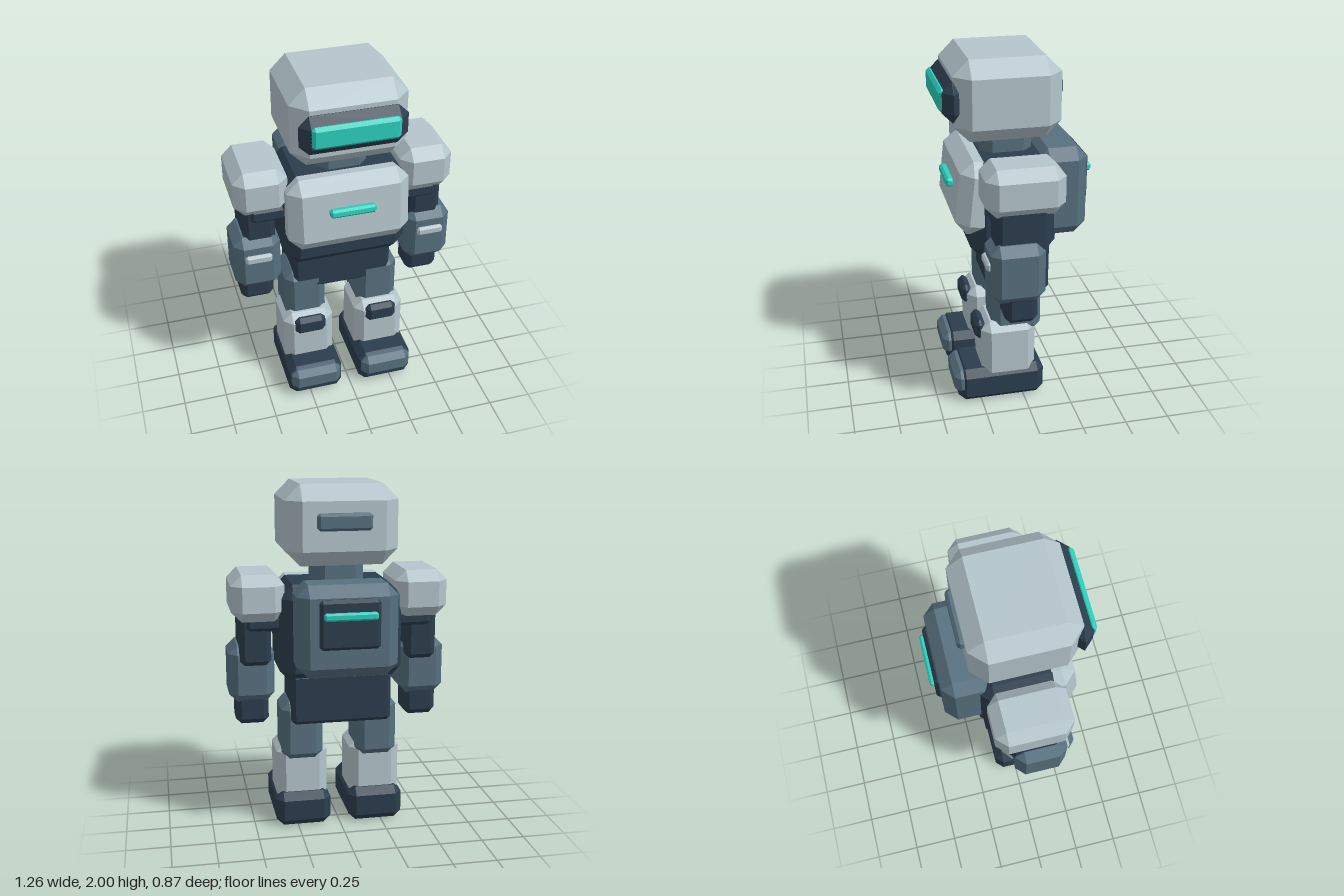
import * as THREE from 'three';
import { ConvexGeometry } from 'three/addons/geometries/ConvexGeometry.js';

const paint = (name, color) => {
  const m = new THREE.MeshStandardMaterial({ color });
  m.name = name;
  return m;
};

// Box with every edge and corner cut flat by the bevel b
function chamferBox(w, h, d, b) {
  const x = w / 2, y = h / 2, z = d / 2, pts = [];
  for (const i of [-1, 1]) for (const j of [-1, 1]) for (const k of [-1, 1]) {
    pts.push(
      new THREE.Vector3(i * x, j * (y - b), k * (z - b)),
      new THREE.Vector3(i * (x - b), j * y, k * (z - b)),
      new THREE.Vector3(i * (x - b), j * (y - b), k * z),
    );
  }
  return new ConvexGeometry(pts);
}

export function createModel() {
  const light = paint('pale armour', 0xb4c5cc);
  const mid = paint('slate blue', 0x57707f);
  const dark = paint('dark navy', 0x2b3d4d);
  const glow = paint('teal glow', 0x2bcfbd);
  const model = new THREE.Group();
  model.name = 'robot';

  // Places a chamfered box given its min and max along each axis
  function block(parent, name, mat, [x0, x1], [y0, y1], [z0, z1], bevel) {
    const mesh = new THREE.Mesh(chamferBox(x1 - x0, y1 - y0, z1 - z0, bevel), mat);
    mesh.position.set((x0 + x1) / 2, (y0 + y1) / 2, (z0 + z1) / 2);
    mesh.name = name;
    parent.add(mesh);
    return mesh;
  }
  const group = (name) => {
    const g = new THREE.Group();
    g.name = name;
    model.add(g);
    return g;
  };
  const wide = (h) => [-h, h];

  // Head with visor and rear plate
  const head = group('head');
  block(head, 'skull', light, wide(0.317), [1.554, 2], [-0.23, 0.357], 0.087);
  block(head, 'visor', dark, wide(0.29), [1.667, 1.888], [0.302, 0.415], 0.055);
  block(head, 'visorGlow', glow, wide(0.236), [1.724, 1.85], [0.39, 0.432], 0.018);
  block(head, 'rearPlate', mid, wide(0.152), [1.755, 1.85], [-0.262, -0.21], 0.016);
  block(head, 'neck', mid, wide(0.142), [1.36, 1.64], [-0.1, 0.186], 0.055);

  // Torso and leaning chest plate
  const body = group('body');
  block(body, 'torso', dark, wide(0.35), [0.88, 1.45], [-0.195, 0.286], 0.077);
  block(body, 'hips', dark, wide(0.288), [0.643, 0.94], [-0.163, 0.178], 0.022);
  const plate = block(body, 'chestPlate', light, wide(0.342), [1.033, 1.453], [0.133, 0.353], 0.07);
  plate.rotation.x = -0.11;
  const bar = block(body, 'chestLight', glow, wide(0.128), [1.263, 1.311], [0.343, 0.389], 0.012);
  bar.rotation.x = -0.11;

  // Backpack with panel and light strip
  const pack = group('backpack');
  block(pack, 'pack', mid, wide(0.281), [0.965, 1.48], [-0.385, -0.1], 0.063);
  block(pack, 'packPanel', dark, wide(0.168), [1.135, 1.41], [-0.41, -0.36], 0.018);
  block(pack, 'packLight', glow, wide(0.147), [1.3, 1.343], [-0.434, -0.4], 0.01);

  // Arms and legs, mirrored across x
  for (const [label, s] of [['left', 1], ['right', -1]]) {
    const arm = group(label + 'Arm');
    const leg = group(label + 'Leg');
    const part = (parent, name, mat, [a, b], y, z, bevel) =>
      block(parent, name, mat, s > 0 ? [a, b] : [-b, -a], y, z, bevel);

    part(arm, 'shoulder', light, [0.316, 0.615], [1.245, 1.51], [-0.172, 0.255], 0.06);
    part(arm, 'shoulderJoint', dark, [0.32, 0.535], [1.182, 1.28], [-0.11, 0.216], 0.025);
    part(arm, 'upperArm', dark, [0.39, 0.57], [0.98, 1.3], [-0.09, 0.2], 0.03);
    part(arm, 'forearm', mid, [0.368, 0.63], [0.757, 1.093], [-0.062, 0.236], 0.05);
    part(arm, 'forearmBand', light, [0.425, 0.575], [0.947, 0.999], [0.215, 0.256], 0.012);
    part(arm, 'hand', dark, [0.403, 0.594], [0.62, 0.83], [-0.025, 0.156], 0.032);

    part(leg, 'thigh', mid, [0.098, 0.338], [0.405, 0.757], [-0.11, 0.178], 0.045);
    part(leg, 'shin', light, [0.068, 0.366], [0.13, 0.493], [-0.073, 0.24], 0.05);
    part(leg, 'kneePad', dark, [0.127, 0.307], [0.375, 0.492], [0.21, 0.272], 0.025);
    part(leg, 'foot', dark, [0.055, 0.376], [0, 0.205], [-0.122, 0.382], 0.042);
    part(leg, 'toeCap', mid, [0.067, 0.366], [0.054, 0.196], [0.3, 0.404], 0.035);
  }
  return model;
}
